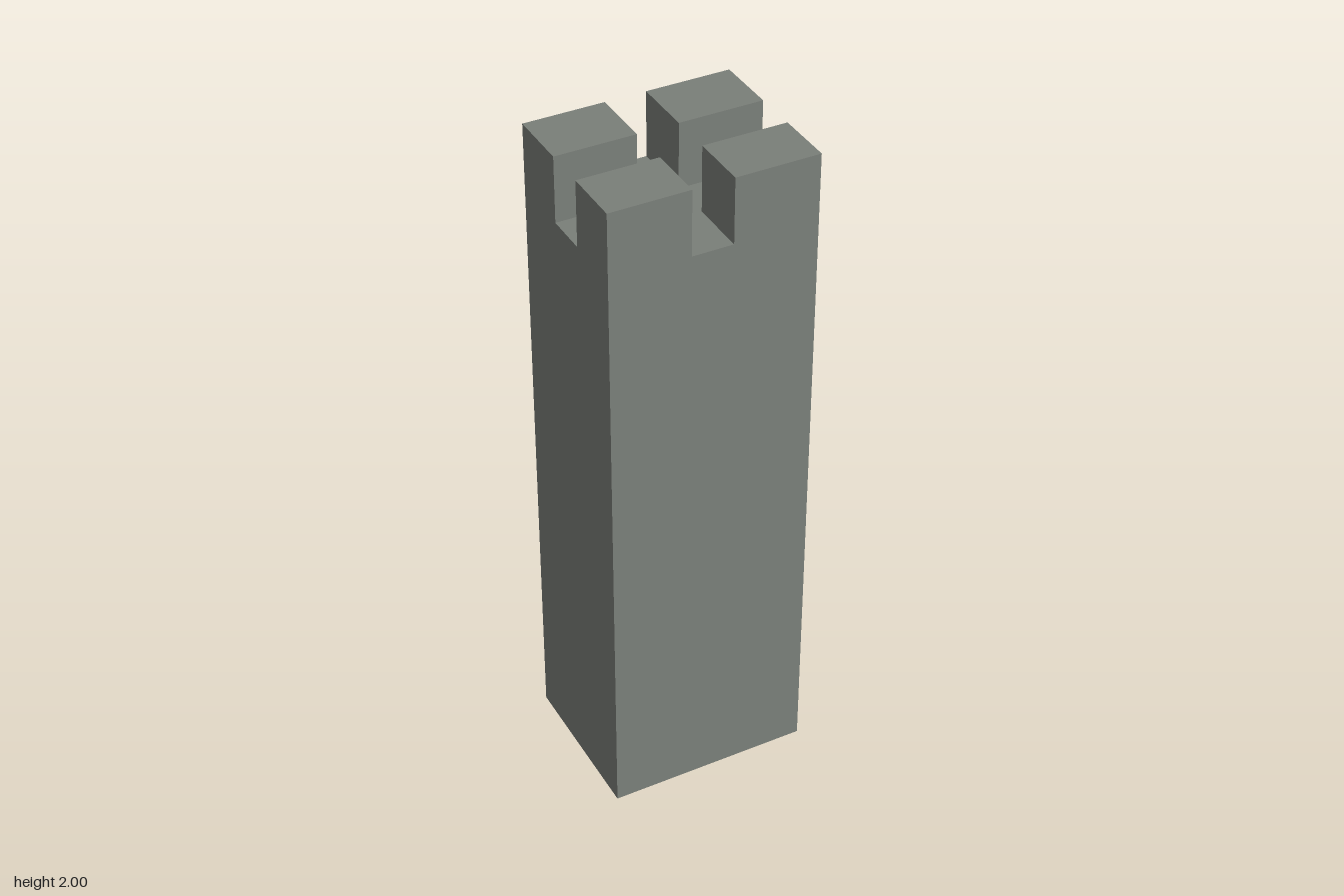
import * as THREE from 'three';

export function createModel() {
  const group = new THREE.Group();
  group.name = 'tower';
  const stone = new THREE.MeshStandardMaterial({ color: 0x7a7f79 });
  stone.name = 'grey stone';

  // Adds a box spanning two opposite corners
  const addBlock = (name, [x0, x1], [y0, y1], [z0, z1]) => {
    const mesh = new THREE.Mesh(new THREE.BoxGeometry(x1 - x0, y1 - y0, z1 - z0), stone);
    mesh.name = name;
    mesh.position.set((x0 + x1) / 2, (y0 + y1) / 2, (z0 + z1) / 2);
    group.add(mesh);
  };

  const floor = 1.805;

  // Solid shaft up to the floor of the notches
  addBlock('shaft', [-0.3, 0.3], [0, floor], [-0.24, 0.24]);

  // Corner merlons around the slightly off-centre crossing notches
  const xSpans = { Right: [-0.3, -0.066], Left: [0.054, 0.3] };
  const zSpans = { back: [-0.24, -0.058], front: [0.068, 0.24] };
  for (const [zName, z] of Object.entries(zSpans)) {
    for (const [xName, x] of Object.entries(xSpans)) {
      addBlock(`${zName}${xName}Merlon`, x, [floor, 2], z);
    }
  }
  return group;
}
